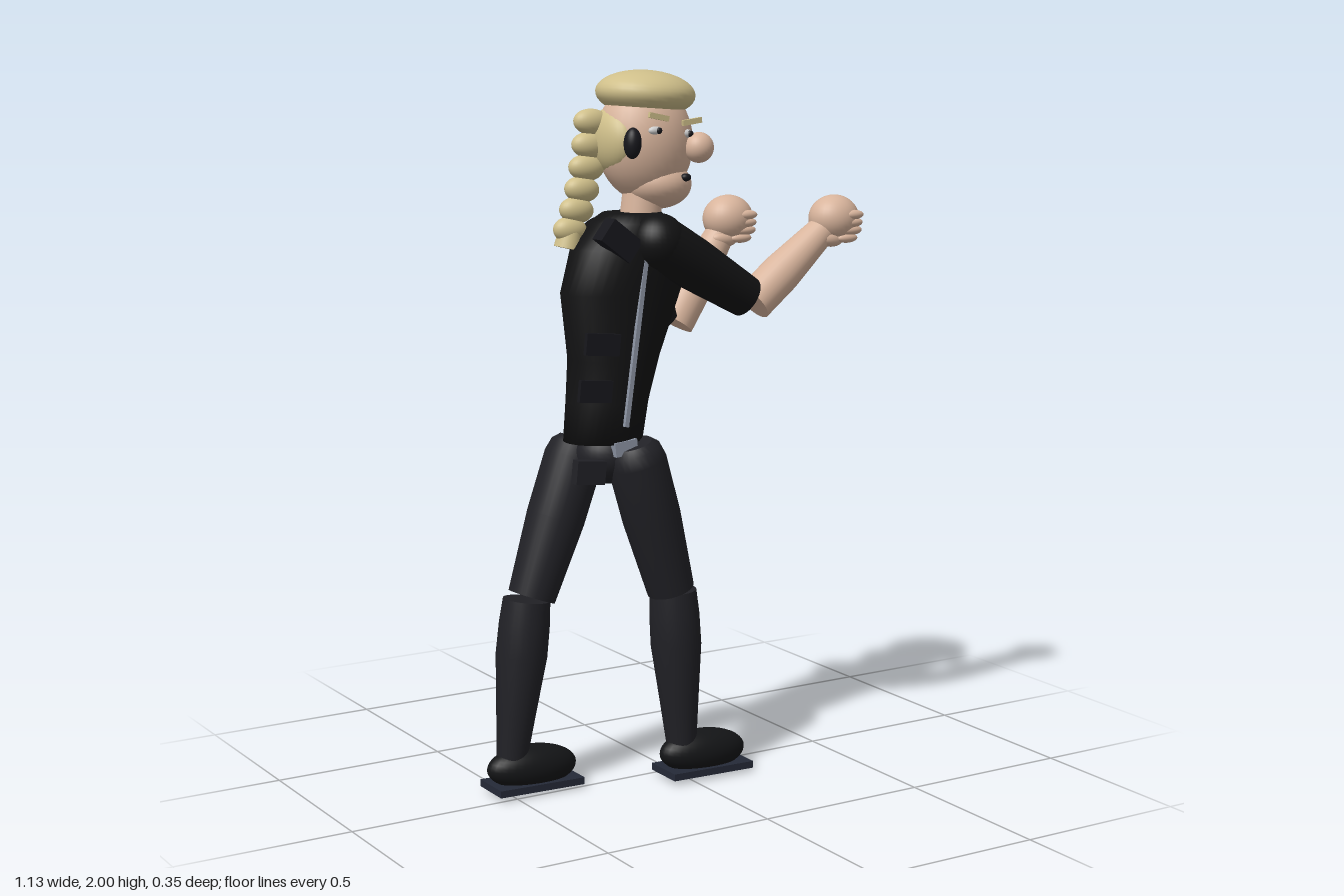
import * as THREE from 'three';

const mat = (color, side = THREE.FrontSide) => new THREE.MeshStandardMaterial({ color, side });
const SKIN = mat(0xd8b49c), HAIR = mat(0xcfbf8a), SHIRT = mat(0x121213), TROUSER = mat(0x212126);
const SHOE = mat(0x141517), SOLE = mat(0x252a38), METAL = mat(0x8e96a5), WHITE = mat(0xe8e8e8), DARK = mat(0x17171c);
const V = (p) => new THREE.Vector3(...p);

export function createModel() {
  const model = new THREE.Group();
  model.name = 'figure';

  const add = (parent, name, geo, material, pos = [0, 0, 0], roll = 0) => {
    const m = new THREE.Mesh(geo, material);
    m.name = name;
    m.position.set(...pos);
    m.rotation.z = roll;
    parent.add(m);
    return m;
  };
  const group = (name) => {
    const g = new THREE.Group();
    g.name = name;
    model.add(g);
    return g;
  };
  const ball = (parent, name, material, pos, [rx, ry, rz], roll = 0) =>
    add(parent, name, new THREE.SphereGeometry(1, 32, 20).scale(rx, ry, rz), material, pos, roll);
  const box = (parent, name, material, pos, size, roll = 0) =>
    add(parent, name, new THREE.BoxGeometry(...size), material, pos, roll);
  // Limb segment from a to b; profile = [fraction along, radius], closed with flat ends
  const limb = (parent, name, material, a, b, profile) => {
    const A = V(a), dir = V(b).sub(A), len = dir.length();
    const pts = profile.map(([t, r]) => new THREE.Vector2(r, t * len));
    const g = new THREE.Group();
    g.name = name;
    g.position.copy(A);
    g.quaternion.setFromUnitVectors(new THREE.Vector3(0, 1, 0), dir.normalize());
    add(g, name + 'Side', new THREE.LatheGeometry(pts, 28), material);
    [[pts[0], Math.PI / 2], [pts[pts.length - 1], -Math.PI / 2]].forEach(([p, turn]) => {
      add(g, name + 'End', new THREE.CircleGeometry(p.x, 28).rotateX(turn), material, [0, p.y, 0]);
    });
    parent.add(g);
  };

  // Torso lofted through elliptical rings: [y, centre x, radius x, radius z]
  const rings = [
    [0.99, -0.22, 0, 0], [0.99, -0.22, 0.113, 0.1], [1.1, -0.206, 0.118, 0.104], [1.22, -0.185, 0.133, 0.108],
    [1.4, -0.16, 0.18, 0.117], [1.52, -0.15, 0.155, 0.125], [1.59, -0.135, 0.11, 0.105],
    [1.615, -0.125, 0.085, 0.07], [1.615, -0.125, 0, 0],
  ];
  const torso = new THREE.CylinderGeometry(1, 1, 1, 36, rings.length - 1, true);
  const tp = torso.attributes.position;
  for (let i = 0; i < tp.count; i++) {
    const [y, cx, rx, rz] = rings[rings.length - 1 - Math.floor(i / 37)];
    tp.setXYZ(i, cx + tp.getX(i) * rx, y, tp.getZ(i) * rz);
  }
  torso.computeVertexNormals();
  const body = group('body');
  add(body, 'torso', torso, SHIRT);
  ball(body, 'pelvis', TROUSER, [-0.205, 0.95, 0], [0.1, 0.085, 0.095]);

  // Zip, buckle, straps and pouches on the near side
  const slope = -Math.atan2(0.065, 0.46);
  box(body, 'zip', METAL, [-0.183, 1.27, 0.118], [0.013, 0.46, 0.012], slope);
  box(body, 'buckle', METAL, [-0.205, 0.98, 0.09], [0.07, 0.04, 0.03], 0.1);
  box(body, 'upperStrap', DARK, [-0.285, 1.273, 0.113], [0.105, 0.06, 0.014], -0.1);
  box(body, 'lowerStrap', DARK, [-0.308, 1.147, 0.113], [0.1, 0.06, 0.014], -0.1);
  box(body, 'shoulderPatch', DARK, [-0.228, 1.55, 0.1], [0.11, 0.07, 0.05], -0.65);
  box(body, 'hipPouch', TROUSER, [-0.31, 0.92, 0.08], [0.09, 0.065, 0.03], -0.1);

  // Arms
  const arms = [
    { side: 'left', shoulder: [-0.1, 1.54, 0.097], elbow: [0.19, 1.37, 0.092], forearm: [0.215, 1.352, 0.09], fist: [0.49, 1.575, 0.09] },
    { side: 'right', shoulder: [-0.155, 1.52, -0.1], elbow: [0.025, 1.29, -0.094], forearm: [0.068, 1.285, -0.092], fist: [0.25, 1.572, -0.093] },
  ];
  for (const { side, shoulder, elbow, forearm, fist } of arms) {
    const arm = group(side + 'Arm');
    ball(arm, 'shoulder', SHIRT, shoulder, [0.078, 0.078, 0.077]);
    limb(arm, 'sleeve', SHIRT, shoulder, elbow, [[0, 0.076], [0.4, 0.073], [1, 0.059]]);
    limb(arm, 'forearm', SKIN, forearm, fist, [[0, 0.057], [0.35, 0.057], [0.85, 0.042], [1, 0.04]]);
    ball(arm, 'fist', SKIN, fist, [0.075, 0.067, 0.066]);
    // Curled fingers on the near side, thumb below
    for (let i = 0; i < 4; i++) {
      ball(arm, 'finger', SKIN, [fist[0] + 0.03 - (i === 3 ? 0.012 : 0), fist[1] + 0.012 - i * 0.022, fist[2] + 0.052 - i * 0.004], [0.035, 0.014, 0.016]);
    }
    ball(arm, 'thumb', SKIN, [fist[0] - 0.03, fist[1] - 0.056, fist[2] + 0.025], [0.042, 0.022, 0.022], -0.1);
  }

  // Legs
  const legs = [
    { side: 'left', hip: [-0.17, 0.985, 0.075], knee: [-0.04, 0.555, 0.065], shin: [-0.03, 0.55, 0.062], ankle: [-0.008, 0.1, 0.072], foot: [0.06, 0.075] },
    { side: 'right', hip: [-0.255, 0.985, -0.07], knee: [-0.415, 0.555, -0.062], shin: [-0.432, 0.55, -0.06], ankle: [-0.487, 0.1, -0.055], foot: [-0.425, -0.053] },
  ];
  for (const { side, hip, knee, shin, ankle, foot: [fx, fz] } of legs) {
    const leg = group(side + 'Leg');
    limb(leg, 'thigh', TROUSER, hip, knee, [[0, 0.055], [0.04, 0.074], [0.12, 0.083], [0.5, 0.082], [1, 0.067]]);
    limb(leg, 'shin', TROUSER, shin, ankle, [[0, 0.066], [0.15, 0.071], [0.35, 0.072], [0.7, 0.056], [1, 0.043]]);
    ball(leg, 'shoe', SHOE, [fx, 0.07, fz], [0.138, 0.062, 0.062], -0.05);
    box(leg, 'sole', SOLE, [fx + 0.002, 0.022, fz], [0.265, 0.02, 0.125], -0.02);
    ball(leg, 'tread', SHOE, [fx, 0.018, fz], [0.11, 0.018, 0.05]);
  }

  // Head
  const head = group('head');
  limb(head, 'neck', SKIN, [-0.1, 1.57, 0], [-0.085, 1.72, 0], [[0, 0.058], [1, 0.054]]);
  ball(head, 'skull', SKIN, [-0.077, 1.805, -0.01], [0.138, 0.165, 0.12], 0.08);
  ball(head, 'jaw', SKIN, [-0.05, 1.69, 0], [0.1, 0.07, 0.102], -0.05);
  ball(head, 'nose', SKIN, [0.034, 1.79, 0.092], [0.042, 0.042, 0.04]);
  ball(head, 'mouth', DARK, [-0.006, 1.71, 0.09], [0.015, 0.011, 0.012]);
  [[-0.108, 1.84, 0.098, 0], [0, 1.828, 0.084, -0.05]].forEach(([x, y, z, roll]) => {
    ball(head, 'eye', WHITE, [x, y, z], [0.022, 0.012, 0.012], roll);
    ball(head, 'pupil', DARK, [x + 0.006, y, z + 0.009], [0.009, 0.009, 0.007]);
  });
  box(head, 'brow', HAIR, [-0.105, 1.877, 0.11], [0.062, 0.015, 0.01], -0.2);
  box(head, 'brow', HAIR, [0, 1.862, 0.11], [0.06, 0.015, 0.01], 0.13);
  ball(head, 'earPiece', DARK, [-0.178, 1.808, 0.095], [0.024, 0.042, 0.025], -0.05);

  // Hair cap, back hair and hanging braid
  ball(head, 'hairCap', HAIR, [-0.072, 1.935, -0.014], [0.141, 0.064, 0.129], -0.07);
  ball(head, 'backHair', HAIR, [-0.17, 1.81, -0.025], [0.056, 0.09, 0.1]);
  const braid = new THREE.QuadraticBezierCurve3(V([-0.225, 1.86, -0.043]), V([-0.24, 1.7, -0.043]), V([-0.295, 1.57, -0.043]));
  for (let i = 0; i < 6; i++) {
    const p = braid.getPoint(i / 5);
    ball(head, 'braidBead', HAIR, p.toArray(), [0.055 - i * 0.001, 0.036, 0.032], -0.1);
  }
  limb(head, 'braidTip', HAIR, [-0.29, 1.58, -0.043], [-0.305, 1.52, -0.043], [[0, 0.03], [1, 0.037]]);

  return model;
}
